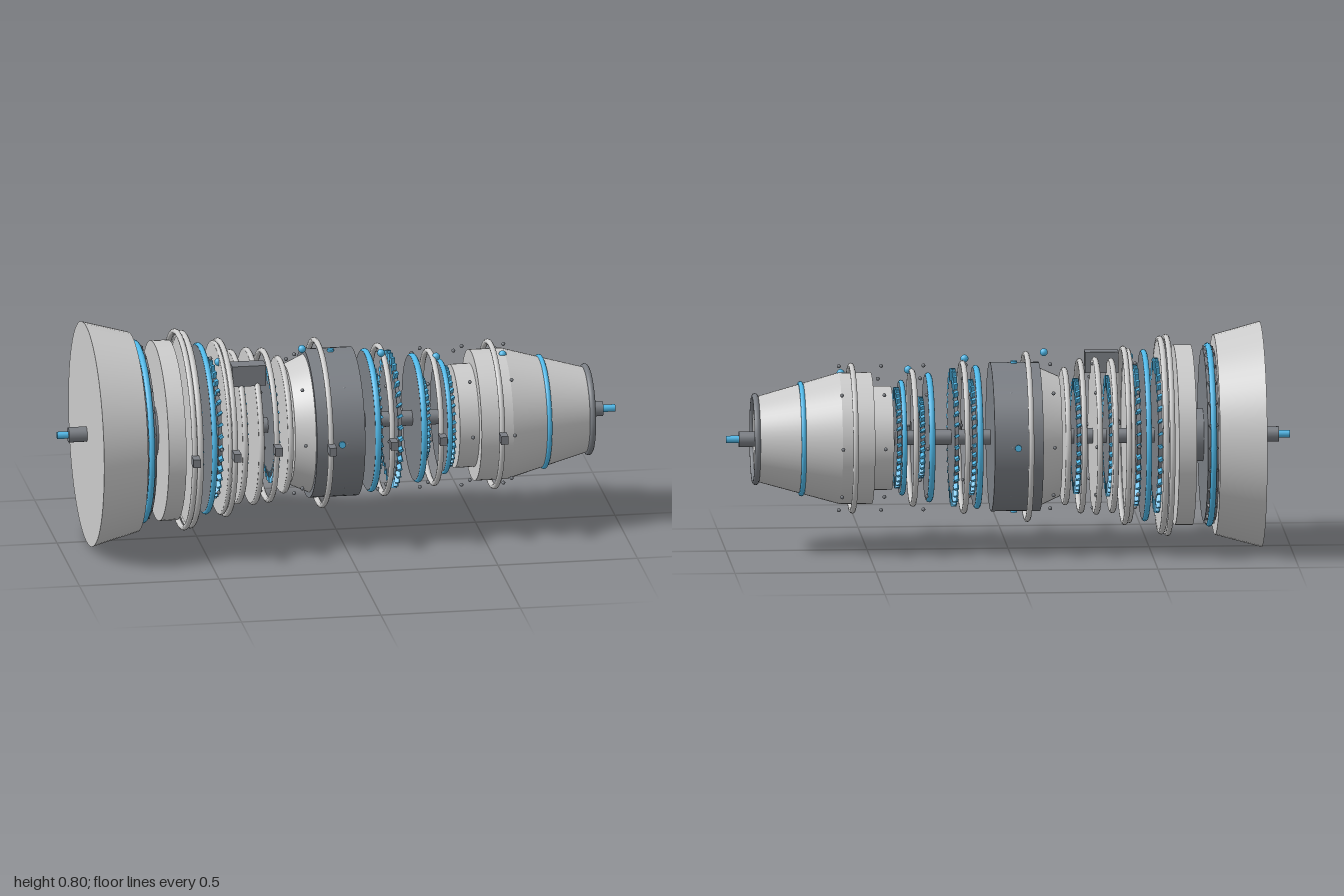
import * as THREE from 'three';
import { mergeGeometries } from 'three/addons/utils/BufferGeometryUtils.js';

const material = (color) => new THREE.MeshStandardMaterial({ color });

export function createModel() {
  const grey = material(0xcccccc);
  const dark = material(0x7a7e84);
  const blue = material(0x4fb8e8);
  const engine = new THREE.Group();
  engine.name = 'turbineEngine';
  engine.position.y = 0.4; // engine axis runs along x at this height

  const add = (name, geometry, mat) => {
    const mesh = new THREE.Mesh(geometry, mat);
    mesh.name = name;
    engine.add(mesh);
    return mesh;
  };
  // Cylinder or cone along x, from x0 (radius r0) to x1 (radius r1)
  const drum = (name, x0, x1, r0, r1, mat = grey, sides = 64) =>
    add(name, new THREE.CylinderGeometry(r1, r0, x1 - x0, sides)
      .rotateZ(-Math.PI / 2).translate((x0 + x1) / 2, 0, 0), mat);
  // Ring around the x axis with the given outer radius
  const ring = (name, x, outer, tube, mat = grey) =>
    add(name, new THREE.TorusGeometry(outer - tube, tube, 10, 72)
      .rotateY(Math.PI / 2).translate(x, 0, 0), mat);
  // Copies of one geometry spaced evenly around the x axis
  const around = (name, count, make, mat) => {
    const parts = [];
    for (let i = 0; i < count; i++) parts.push(make().rotateX((i / count) * Math.PI * 2));
    return add(name, mergeGeometries(parts), mat);
  };

  // Shaft with coloured tips
  drum('shaft', -0.96, 0.955, 0.027, 0.027, dark, 24);
  drum('shaftTipFront', -1, -0.955, 0.013, 0.013, blue, 16);
  drum('shaftTipRear', 0.95, 1, 0.013, 0.013, blue, 16);

  // Intake and fan
  drum('intake', -0.895, -0.73, 0.4, 0.355);
  drum('fanDisc', -0.73, -0.69, 0.305, 0.305, dark);
  around('fanBlades', 24, () => new THREE.BoxGeometry(0.03, 0.06, 0.018)
    .rotateY(0.5).translate(-0.71, 0.287, 0), dark);
  ring('fanRing', -0.71, 0.326, 0.011, blue);
  drum('fanHub', -0.695, -0.645, 0.093, 0.093, dark, 32);
  drum('fanFrame', -0.65, -0.587, 0.32, 0.32);

  // Compressor and turbine stages: x, disc radius, bladed tip radius
  const stages = [
    [-0.525, 0.25, 0.275], [-0.45, 0.225, 0.25], [-0.355, 0.19, 0.215],
    [-0.24, 0.185, 0.205], [0.13, 0.185, 0.205], [0.195, 0.22, 0.245],
    [0.31, 0.12, 0.145], [0.395, 0.16, 0.18],
  ];
  stages.forEach(([x, r, tip]) => {
    drum('rotorDisc', x - 0.007, x + 0.007, r, r, dark);
    around('rotorBlades', 36, () => new THREE.BoxGeometry(0.016, tip - r + 0.02, 0.01)
      .rotateY(0.5).translate(x, (tip + r - 0.02) / 2, 0), blue);
  });

  // Stator plates: x, radius, material, half thickness
  const plates = [
    [-0.482, 0.305, blue, 0.01], [-0.427, 0.31, grey, 0.007], [-0.367, 0.275, grey, 0.01],
    [-0.31, 0.28, grey, 0.01], [-0.2, 0.245, grey, 0.01], [0.113, 0.255, blue, 0.011],
    [0.282, 0.23, blue, 0.011], [0.378, 0.205, blue, 0.009],
  ];
  plates.forEach(([x, r, mat, h]) => {
    drum('statorPlate', x - h, x + h, r - 0.008, r - 0.008, mat === blue ? dark : grey);
    ring('statorRim', x, r, h, mat);
  });
  ring('supportRing', -0.54, 0.352, 0.011);
  drum('supportPlate', -0.548, -0.532, 0.335, 0.335);

  // Pipe rings with a clamp on the front side
  const pipes = [
    [-0.562, 0.358], [-0.41, 0.318], [-0.255, 0.275], [-0.065, 0.303],
    [0.16, 0.272], [0.34, 0.245], [0.555, 0.267],
  ];
  pipes.forEach(([x, r]) => {
    ring('pipeRing', x, r, 0.01);
    add('pipeClamp', new THREE.BoxGeometry(0.026, 0.03, 0.052).translate(x, 0, r + 0.018), dark);
    add('clampStem', new THREE.BoxGeometry(0.012, 0.016, 0.05).translate(x, 0, r - 0.015), dark);
  });

  // Combustion chamber with fuel nozzles
  drum('combustorCone', -0.18, -0.11, 0.213, 0.245);
  drum('combustorCasing', -0.11, 0.063, 0.264, 0.264, dark);
  around('fuelNozzles', 4, () => new THREE.CylinderGeometry(0.012, 0.012, 0.025, 12)
    .translate(-0.02, 0.259, 0), blue);

  // Turbine housing and exhaust
  drum('exhaustCollar', 0.415, 0.485, 0.184, 0.184);
  drum('exhaustHousing', 0.485, 0.6, 0.233, 0.233);
  drum('exhaustCone', 0.6, 0.895, 0.233, 0.15);
  ring('exhaustLip', 0.897, 0.163, 0.011, dark);
  ring('exhaustBand', 0.735, 0.204, 0.009, blue);

  // Bolts in rings of eight along the body
  for (let x = -0.45; x < 0.61; x += 0.15) {
    around('boltRing', 8, () => new THREE.SphereGeometry(0.007, 8, 6).translate(x, 0.258, 0), dark);
  }

  // Control box and sensors on top
  add('controlBox', new THREE.BoxGeometry(0.12, 0.075, 0.062).translate(-0.34, 0.243, 0.147), dark);
  const sensors = [
    [-0.435, 0.27, 0.08], [-0.13, 0.293, 0.05], [0.15, 0.27, 0.07],
    [0.352, 0.237, 0.042], [0.592, 0.229, 0.03],
  ];
  sensors.forEach(([x, y, z]) => {
    add('sensor', new THREE.SphereGeometry(0.014, 14, 10).translate(x, y, z), blue);
  });

  const model = new THREE.Group();
  model.name = 'engineModel';
  model.add(engine);
  return model;
}
